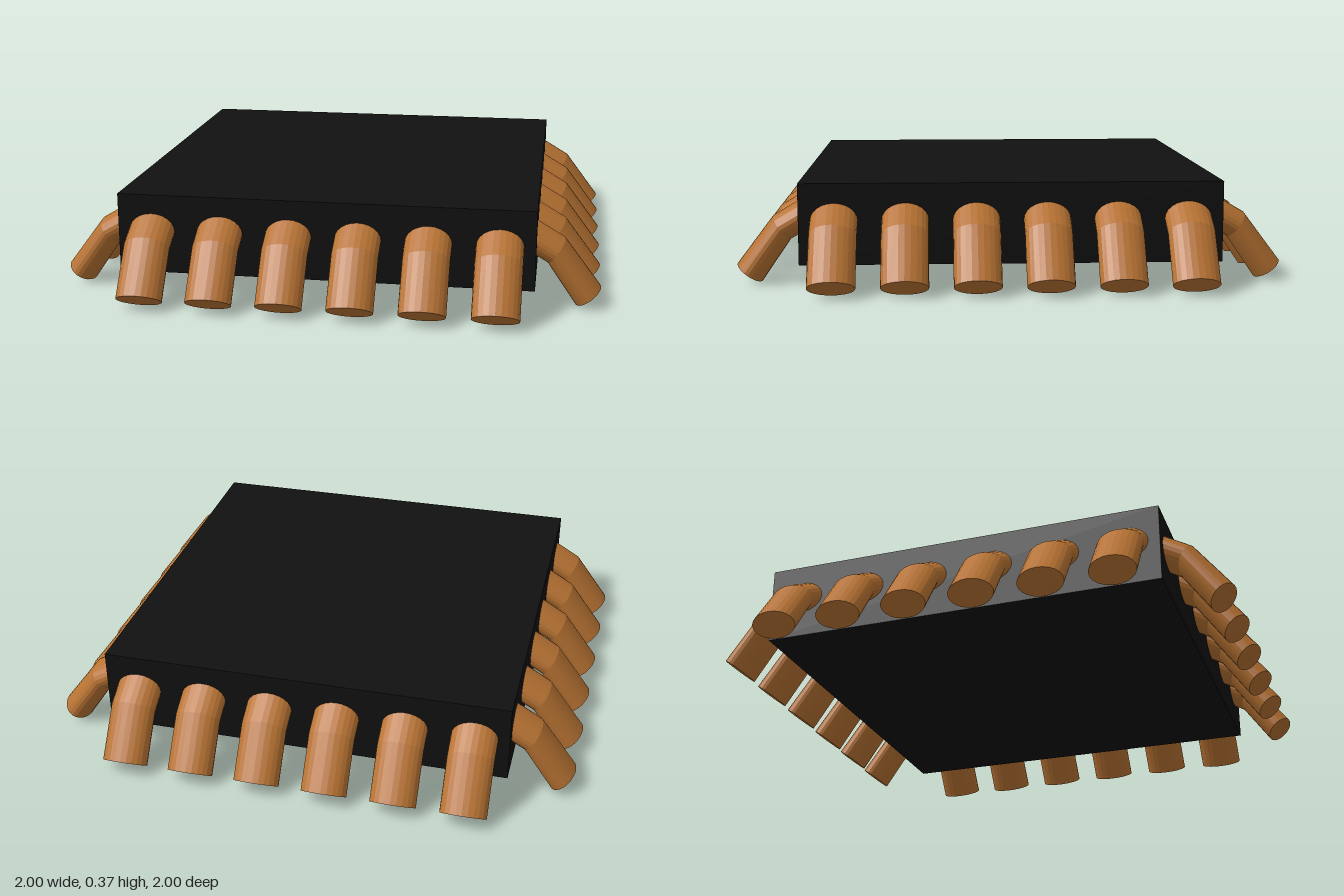
import * as THREE from 'three';

const PINS_PER_SIDE = 6;
const PITCH = 0.255;
const PIN_HALF_WIDTH = 0.085;

// Pin stations: centre and half-thickness vector, each as [outward, up]
const STATIONS = [
  { c: [0.955, 0.034], n: [0.045, 0.033] }, // free end
  { c: [0.835, 0.2], n: [0.031, 0.044] }, // bend
  { c: [0.7, 0.279], n: [0.0275, 0.047] }, // root inside the body
];

// Elliptical pin bent once, made by moving the rings of a cylinder onto the stations
function pinGeometry() {
  const geometry = new THREE.CylinderGeometry(1, 1, 2, 24, 2);
  const p = geometry.attributes.position;
  for (let i = 0; i < p.count; i++) {
    const { c, n } = STATIONS[Math.round(p.getY(i)) + 1];
    const s = p.getZ(i);
    p.setXYZ(i, p.getX(i) * PIN_HALF_WIDTH, c[1] + n[1] * s, c[0] + n[0] * s);
  }
  geometry.computeVertexNormals();
  return geometry;
}

export function createModel() {
  const model = new THREE.Group();
  model.name = 'chip';

  // Flat square body
  const body = new THREE.Mesh(
    new THREE.BoxGeometry(1.53, 0.295, 1.53),
    new THREE.MeshStandardMaterial({ color: 0x111111 })
  );
  body.name = 'body';
  body.position.y = 0.2275;
  model.add(body);

  // A row of bent pins on each of the four sides
  const geometry = pinGeometry();
  const copper = new THREE.MeshStandardMaterial({ color: 0xb87333, flatShading: true });
  ['front', 'left', 'back', 'right'].forEach((side, k) => {
    const row = new THREE.Group();
    row.name = side + 'Pins';
    row.rotation.y = (k * Math.PI) / 2;
    for (let i = 0; i < PINS_PER_SIDE; i++) {
      const pin = new THREE.Mesh(geometry, copper);
      pin.name = 'pin';
      pin.position.x = (i - (PINS_PER_SIDE - 1) / 2) * PITCH;
      row.add(pin);
    }
    model.add(row);
  });

  return model;
}
